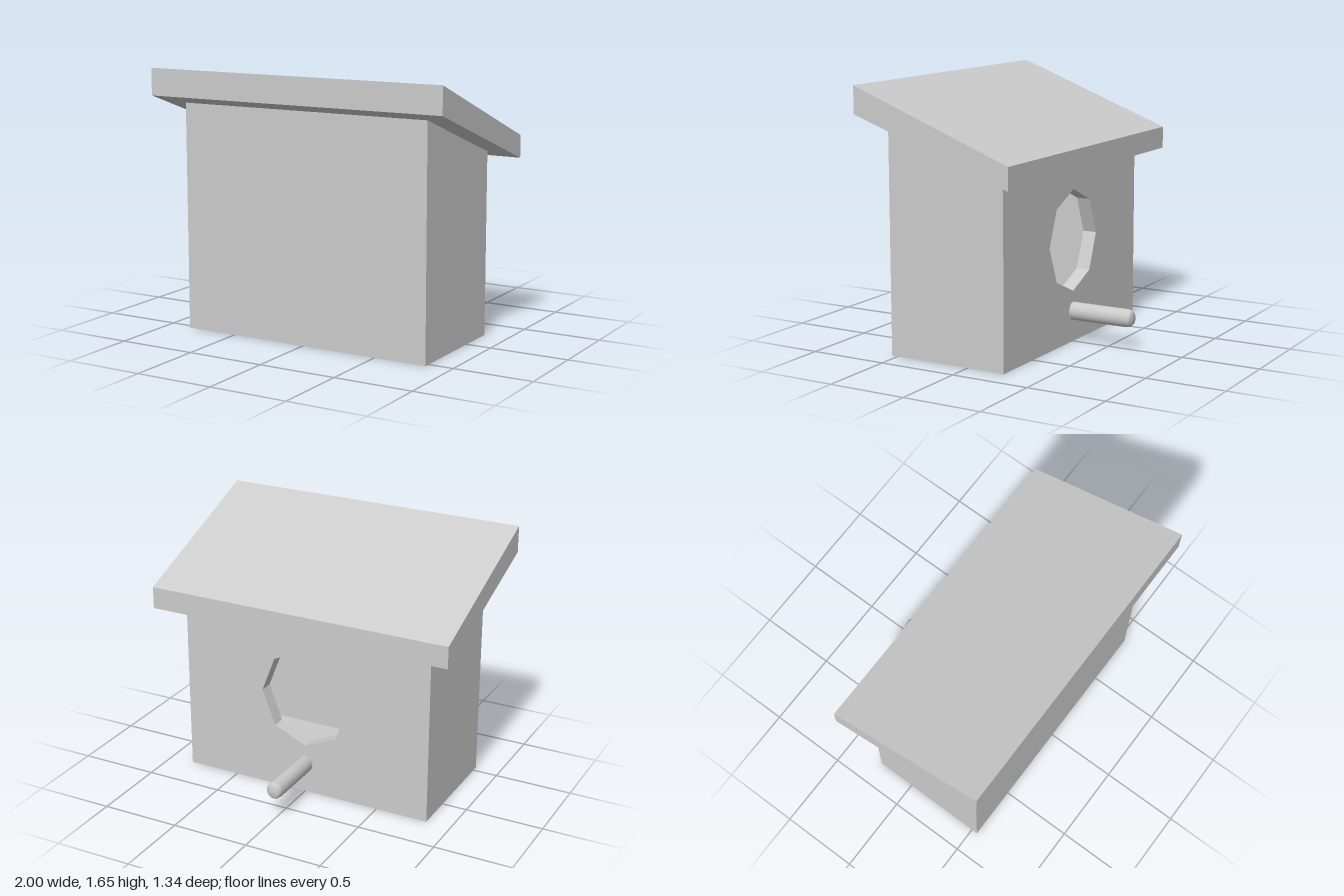
import * as THREE from 'three';

const material = new THREE.MeshStandardMaterial({ color: 0xcccccc, flatShading: true });
const smooth = new THREE.MeshStandardMaterial({ color: 0xcccccc });

const W = 0.84, BACK = -0.25, FRONT = 0.54; // outer faces of the box
const TX = 0.1, TZ = 0.09, FLOOR = 0.1; // board thicknesses
const underRoof = (z) => 1.242 + 0.352 * z; // height of the roof's underside

export function createModel() {
  const house = new THREE.Group();
  house.name = 'birdhouse';

  const add = (name, geometry, mat = material) => {
    const mesh = new THREE.Mesh(geometry, mat);
    mesh.name = name;
    house.add(mesh);
    return mesh;
  };

  // A side profile given as [z, y] points, extruded across x and centred on cx
  const board = (name, points, width, cx = 0) => {
    const shape = new THREE.Shape(points.map(([z, y]) => new THREE.Vector2(-z, y)));
    const geometry = new THREE.ExtrudeGeometry(shape, { depth: width, bevelEnabled: false });
    geometry.translate(0, 0, -width / 2).rotateY(Math.PI / 2).translate(cx, 0, 0);
    return add(name, geometry);
  };
  const upright = (z0, z1, y0 = 0) => [[z0, y0], [z1, y0], [z1, underRoof(z1)], [z0, underRoof(z0)]];

  // Sloping roof with vertical edges
  board('roof', [[0.67, 1.48], [0.67, 1.65], [-0.38, 1.25], [-0.38, 1.11]], 2);

  // Plain wall and the two side walls
  board('frontWall', upright(FRONT - TZ, FRONT), 2 * W);
  for (const side of [-1, 1]) {
    board(side > 0 ? 'leftWall' : 'rightWall', upright(BACK + TZ, FRONT - TZ), TX, side * (W - TX / 2));
  }

  // Floor between the walls
  const floorDepth = FRONT - BACK - 2 * TZ;
  add('floor', new THREE.BoxGeometry(2 * (W - TX), FLOOR, floorDepth))
    .position.set(0, FLOOR / 2, (FRONT + BACK) / 2);

  // Entrance wall with an eight-sided hole; its top is let into the roof
  const top = underRoof(BACK + TZ);
  const wall = new THREE.Shape([[-W, 0], [W, 0], [W, top], [-W, top]].map((p) => new THREE.Vector2(...p)));
  const hole = [];
  for (let i = 0; i < 8; i++) {
    const a = (-i * Math.PI) / 4;
    hole.push(new THREE.Vector2(0.3 * Math.cos(a), 0.645 + 0.322 * Math.sin(a)));
  }
  wall.holes.push(new THREE.Path(hole));
  add('entranceWall', new THREE.ExtrudeGeometry(wall, { depth: TZ, bevelEnabled: false }))
    .position.z = BACK;

  // Round perch with a softened tip, pointing out below the entrance
  const profile = [[0, 0], [0.052, 0], [0.052, 0.4], [0.047, 0.425], [0.034, 0.438], [0, 0.44]];
  const perch = new THREE.LatheGeometry(profile.map((p) => new THREE.Vector2(...p)), 16);
  perch.rotateX(-Math.PI / 2).scale(1, 1.1, 1);
  add('perch', perch, smooth).position.set(0, 0.196, -0.23);

  return house;
}
